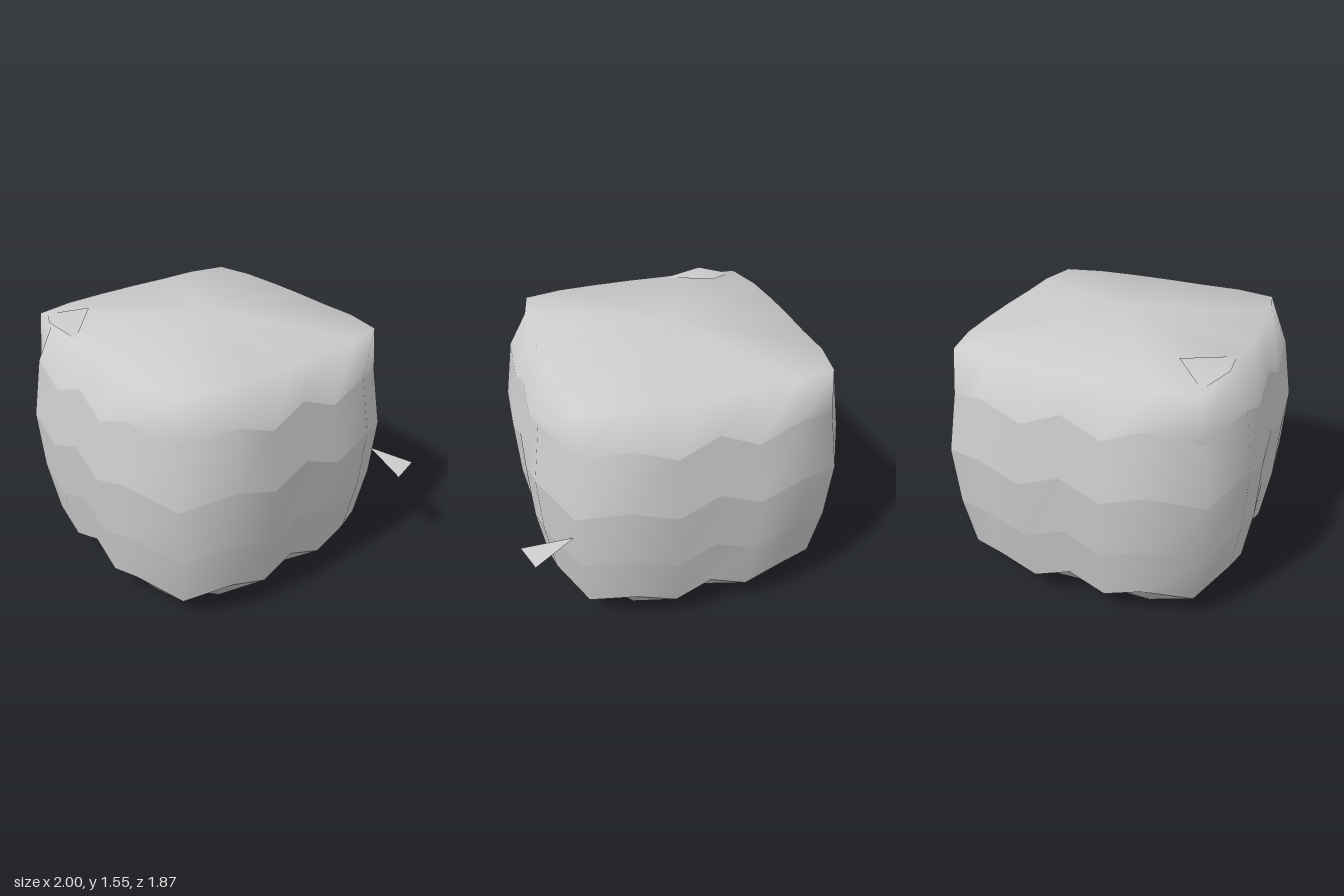
import * as THREE from 'three';

const CX = -0.06; // body centre in x
const N = 24;     // points around each ring

// One quarter of the rounded-square outline at the widest ring, as [x, z]
const QUARTER = [[0, 0.92], [0.24, 0.935], [0.49, 0.92], [0.77, 0.77], [0.92, 0.49], [0.935, 0.24]];
// Squarer rim under the lid, and the cut-cornered rim of the base
const TOP = [[0, 0.77], [0.24, 0.77], [0.48, 0.76], [0.71, 0.71], [0.76, 0.48], [0.76, 0.24]];
const BASE = [[0, 0.69], [0.22, 0.7], [0.44, 0.7], [0.56, 0.56], [0.7, 0.44], [0.7, 0.22]];

// Turn a quarter outline through four quarters; every second point drops to make a zigzag
function ring(quarter, scale, high, low) {
  return Array.from({ length: N }, (_, i) => {
    let [x, z] = quarter[i % 6];
    for (let q = 0; q < Math.floor(i / 6); q++) [x, z] = [z, -x];
    return [CX + x * scale, i % 2 ? low : high, z * scale];
  });
}

// Smooth skin over rings listed from bottom to top, optionally closed to a point
function loft(name, rings, { topPoint, bottomPoint } = {}) {
  const pos = rings.flat(2);
  const index = [];
  for (let r = 0; r < rings.length - 1; r++) {
    for (let i = 0; i < N; i++) {
      const a = r * N + i, b = r * N + (i + 1) % N;
      index.push(a, b, b + N, a, b + N, a + N);
    }
  }
  const last = (rings.length - 1) * N;
  if (topPoint !== undefined) {
    const c = pos.length / 3;
    pos.push(CX, topPoint, 0);
    for (let i = 0; i < N; i++) index.push(last + i, last + (i + 1) % N, c);
  }
  if (bottomPoint !== undefined) {
    const c = pos.length / 3;
    pos.push(CX, bottomPoint, 0);
    for (let i = 0; i < N; i++) index.push((i + 1) % N, i, c);
  }
  return makeMesh(name, pos, index);
}

function makeMesh(name, pos, index) {
  const g = new THREE.BufferGeometry();
  g.setAttribute('position', new THREE.Float32BufferAttribute(pos, 3));
  g.setIndex(index);
  g.computeVertexNormals();
  const m = new THREE.Mesh(g, new THREE.MeshStandardMaterial({ color: 0xcccccc, side: THREE.DoubleSide }));
  m.name = name;
  return m;
}

export function createModel() {
  const model = new THREE.Group();
  model.name = 'lumpyBlock';

  // Zigzag rings shared by neighbouring bands
  const rings = [
    ring(QUARTER, 0.915, 0.24, 0.16),
    ring(QUARTER, 0.975, 0.57, 0.485),
    ring(QUARTER, 1, 0.935, 0.845),
    ring(QUARTER, 0.945, 1.29, 1.195),
  ];

  // Base: tucks in under the lowest zigzag and closes at the ground
  model.add(loft('base', [ring(BASE, 1, 0.06, 0.06), rings[0]], { bottomPoint: 0 }));

  // Side bands, each shaded separately so the zigzag seams read
  ['lowerBand', 'middleBand', 'upperBand'].forEach((name, i) => {
    model.add(loft(name, [rings[i], rings[i + 1]]));
  });

  // Lid: rounds over the rim and rises to a low peak
  model.add(loft('lid', [rings[3], ring(TOP, 1, 1.47, 1.47)], { topPoint: 1.55 }));

  // Small flap lying on the front right of the lid
  model.add(makeMesh('topFlap',
    [-0.54, 1.525, 0.5, -0.73, 1.47, 0.68, -0.54, 1.5, 0.77, -0.29, 1.47, 0.74],
    [0, 1, 2, 0, 2, 3]));

  // Thin fin sticking out at the back left corner
  model.add(makeMesh('sideFin',
    [0.71, 0.68, -0.72, 1, 0.63, -0.66, 0.95, 0.64, -0.845],
    [0, 1, 2]));

  return model;
}
